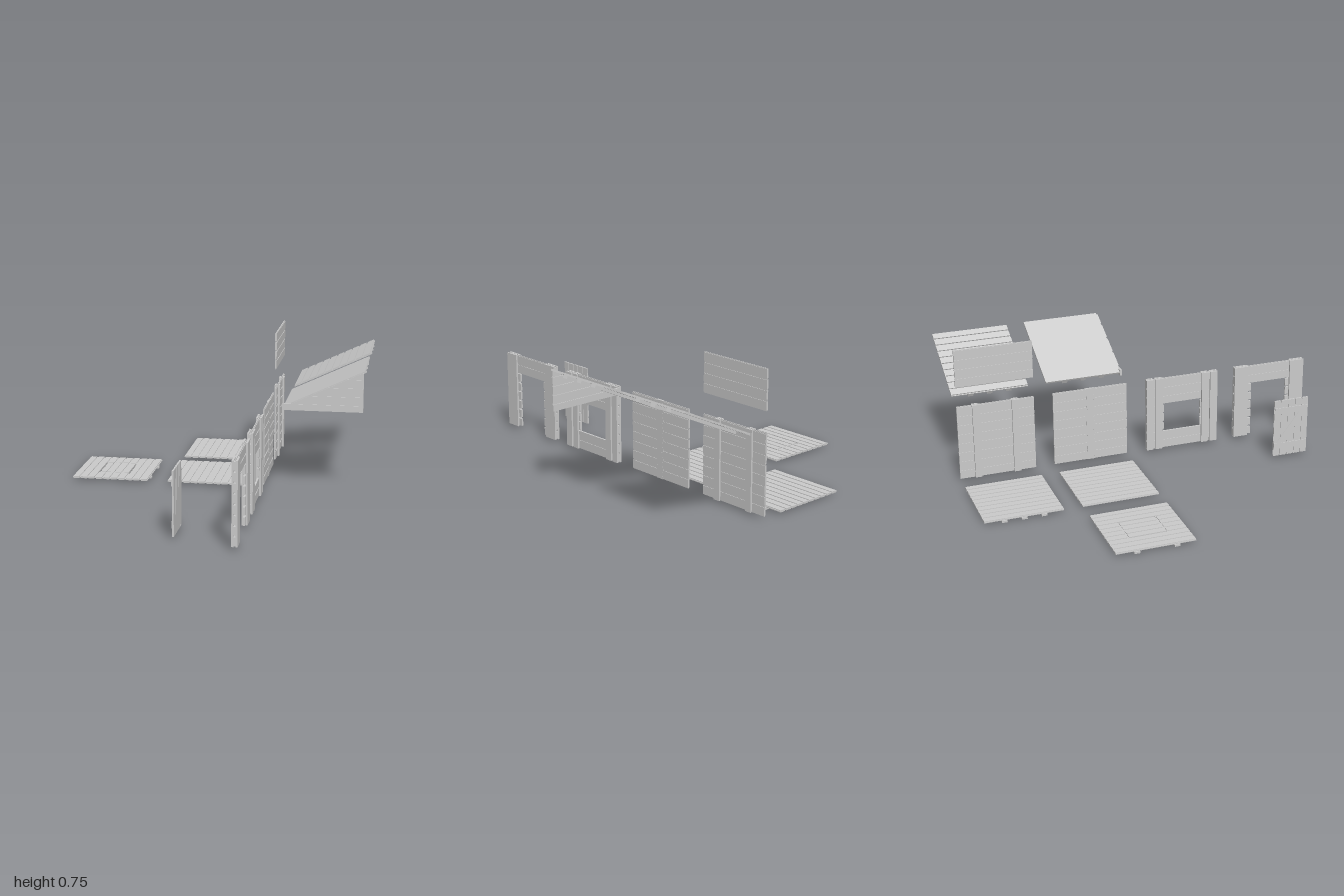
import * as THREE from 'three';

const material = new THREE.MeshStandardMaterial({ color: 0xcccccc, flatShading: true });

// Box given by its limits on each axis
function box(parent, name, [x0, x1], [y0, y1], [z0, z1]) {
  const mesh = new THREE.Mesh(new THREE.BoxGeometry(x1 - x0, y1 - y0, z1 - z0), material);
  mesh.position.set((x0 + x1) / 2, (y0 + y1) / 2, (z0 + z1) / 2);
  mesh.name = name;
  parent.add(mesh);
  return mesh;
}

function part(root, name) {
  const g = new THREE.Group();
  g.name = name;
  root.add(g);
  return g;
}

// Walls: thin core with horizontal planks standing proud on both sides
const WX = 0.26, ROW = 0.0525, Y0 = 0.018, GAP = 0.01;
const both = t => [WX - t / 2, WX + t / 2];

function plankRows(g, from, to, z, y0 = Y0) {
  for (let i = from; i < to; i++) {
    box(g, 'plank', both(0.01), [y0 + i * ROW + GAP / 2, y0 + (i + 1) * ROW - GAP / 2], z);
  }
}
function core(g, y, z) { box(g, 'core', both(0.004), y, z); }
function post(g, z) {
  for (const s of [-1, 1]) {
    const a = WX + s * 0.005, b = WX + s * 0.015;
    box(g, 'batten', [Math.min(a, b), Math.max(a, b)], [Y0, Y0 + 8 * ROW], z);
  }
}
const rowY = i => Y0 + i * ROW;

// Floors: planks along z on a thin core, joists along x beneath
function floor(root, name, x0, z0, joists, hatch) {
  const g = part(root, name), n = 10, size = 0.42, pitch = size / n;
  const z1 = z0 + size, h0 = z0 + 0.11, h1 = z0 + 0.31;
  for (let i = 0; i < n; i++) {
    const x = [x0 + i * pitch + GAP / 2, x0 + (i + 1) * pitch - GAP / 2];
    const inHatch = hatch && i >= 3 && i <= 6;
    const spans = inHatch
      ? [[z0, h0 - 0.004], [h0 + 0.004, h1 - 0.004], [h1 + 0.004, z1]] : [[z0, z1]];
    for (const s of spans) box(g, 'floorPlank', x, [0.01, 0.021], s);
  }
  const cy = [0.0135, 0.0175];
  if (hatch) {
    // core split so the hatch has open slots on two sides
    const a = x0 + 3 * pitch, b = x0 + 7 * pitch, w = 0.006;
    box(g, 'core', [x0, a - w], cy, [z0, z1]);
    box(g, 'core', [b + w, x0 + size], cy, [z0, z1]);
    box(g, 'core', [a + w, b - w], cy, [z0, z1]);
    for (const e of [a, b]) {
      box(g, 'core', [e - w, e + w], cy, [z0, h0]);
      box(g, 'core', [e - w, e + w], cy, [h1, z1]);
    }
  } else box(g, 'core', [x0, x0 + size], cy, [z0, z1]);
  for (const z of joists) {
    box(g, 'joist', [x0 - 0.003, x0 + size + 0.003], [0, 0.0105], [z - 0.015, z + 0.015]);
  }
}

// Sloped roofs, rising toward +x
const ROOF_X = 0.365, ROOF_Y = 0.46, SLOPE = 0.2 / 0.425, LEN = 0.469;

function roof(root, name, z0, z1, planked) {
  const g = part(root, name);
  g.position.set(ROOF_X, ROOF_Y, 0);
  g.rotation.z = Math.atan(SLOPE);
  box(g, 'sheet', [0, LEN], [-0.01, planked ? -0.006 : 0], [z0, z1]);
  if (planked) {
    const n = 10, p = LEN / n;
    for (let i = 0; i < n; i++) {
      box(g, 'roofPlank', [i * p + GAP / 2, (i + 1) * p - GAP / 2], [-0.007, 0], [z0, z1]);
    }
  }
  const mid = (z0 + z1) / 2;
  for (const d of [-0.105, 0, 0.105]) {
    box(g, 'rafter', [0, LEN - 0.006], [-0.025, -0.01], [mid + d - 0.015, mid + d + 0.015]);
  }
}

// Flat outline in x and y, given thickness along z
function slab(g, name, points, z0, z1) {
  const shape = new THREE.Shape(points.map(p => new THREE.Vector2(...p)));
  const geo = new THREE.ExtrudeGeometry(shape, { depth: z1 - z0, bevelEnabled: false });
  const mesh = new THREE.Mesh(geo, material);
  mesh.position.z = z0;
  mesh.name = name;
  g.add(mesh);
}

function gable(root) {
  const g = part(root, 'gable'), right = 0.787, pitch = 0.047, base = 0.44;
  const edge = y => Math.max(ROOF_X, ROOF_X + (y - ROOF_Y + 0.004) / SLOPE);
  slab(g, 'core', [[ROOF_X, base], [right, base], [right, 0.65], [ROOF_X, 0.455]], -0.054, -0.05);
  box(g, 'lowestPlank', [ROOF_X, right], [base, 0.474], [-0.058, -0.046]);
  for (let i = 0; i < 4; i++) {
    const a = 0.481 + i * pitch, b = Math.min(a + pitch - 0.008, 0.652);
    slab(g, 'gablePlank', [[edge(a), a], [right, a], [right, b], [edge(b), b]], -0.058, -0.046);
  }
}

export function createModel() {
  const root = new THREE.Group();
  root.name = 'shelterKit';

  floor(root, 'hatchFloor', -0.795, -0.48, [-0.37, -0.16], true);
  floor(root, 'plainFloor', -0.265, -0.48, [], false);
  floor(root, 'joistFloor', -0.265, -1, [-0.895, -0.79, -0.685], false);

  // Doorway wall: wide posts, plank ends showing in the jambs
  const doorway = part(root, 'doorwayWall');
  plankRows(doorway, 6, 8, [0.58, 1]);
  core(doorway, [rowY(6), rowY(8)], [0.6, 0.98]);
  for (const [post0, post1, ends] of [[0.58, 0.663, [0.58, 0.685]], [0.917, 1, [0.895, 1]]]) {
    post(doorway, [post0, post1]);
    plankRows(doorway, 0, 6, ends);
    core(doorway, [rowY(0), rowY(6)], [post0 + 0.02, post1 - 0.02]);
  }

  // Window wall: four posts, planks above and below the opening
  const windowWall = part(root, 'windowWall');
  plankRows(windowWall, 0, 2, [0.058, 0.475]);
  plankRows(windowWall, 5, 8, [0.058, 0.475]);
  core(windowWall, [rowY(0), rowY(2) - 0.005], [0.08, 0.455]);
  core(windowWall, [rowY(5) + 0.005, rowY(8)], [0.08, 0.455]);
  for (const z of [[0.058, 0.16], [0.375, 0.475]]) {
    plankRows(windowWall, 2, 5, z);
    core(windowWall, [rowY(2) - 0.005, rowY(5) + 0.005], [z[0] + 0.02, z[1] - 0.005]);
  }
  for (const z of [[0.058, 0.097], [0.108, 0.15], [0.382, 0.42], [0.432, 0.475]]) post(windowWall, z);

  // Plain wall with a nailed centre joint
  const plain = part(root, 'plainWall');
  plankRows(plain, 0, 8, [-0.475, -0.057]);
  core(plain, [rowY(0), rowY(8)], [-0.475, -0.057]);
  box(plain, 'jointStrip', both(0.012), [Y0, rowY(8)], [-0.288, -0.243]);
  for (let i = 0; i < 8; i++) for (const z of [-0.282, -0.247]) for (const d of [-0.012, 0.012]) {
    const y = rowY(i) + ROW / 2 + d;
    box(plain, 'nail', both(0.014), [y - 0.002, y + 0.002], [z - 0.002, z + 0.002]);
  }

  // Braced wall with two battens on each face
  const braced = part(root, 'bracedWall');
  plankRows(braced, 0, 8, [-1, -0.58]);
  core(braced, [rowY(0), rowY(8)], [-1, -0.58]);
  for (const z of [-0.9, -0.685]) post(braced, [z - 0.018, z + 0.018]);

  // Short upper wall
  const upper = part(root, 'upperWall');
  plankRows(upper, 0, 4, [-1, -0.58], 0.547);
  core(upper, [0.547, 0.755], [-1, -0.58]);

  // Door: upright planks, ledges and a diagonal brace on the back
  const door = part(root, 'door');
  box(door, 'core', [-0.055, -0.052], [0.018, 0.344], [0.687, 0.889]);
  for (let i = 0; i < 5; i++) {
    const z = 0.685 + i * 0.041;
    box(door, 'doorPlank', [-0.058, -0.049], [0.016, 0.345], [z + 0.003, z + 0.038]);
  }
  for (const y of [0.075, 0.285]) {
    box(door, 'ledge', [-0.062, -0.058], [y - 0.017, y + 0.017], [0.69, 0.886]);
  }
  const brace = box(door, 'brace', [-0.0615, -0.058], [0.063, 0.297], [0.773, 0.803]);
  brace.rotation.x = 0.65;

  roof(root, 'gableRoof', -0.48, -0.055, false);
  roof(root, 'plankRoof', -1, -0.58, true);
  gable(root);
  return root;
}
